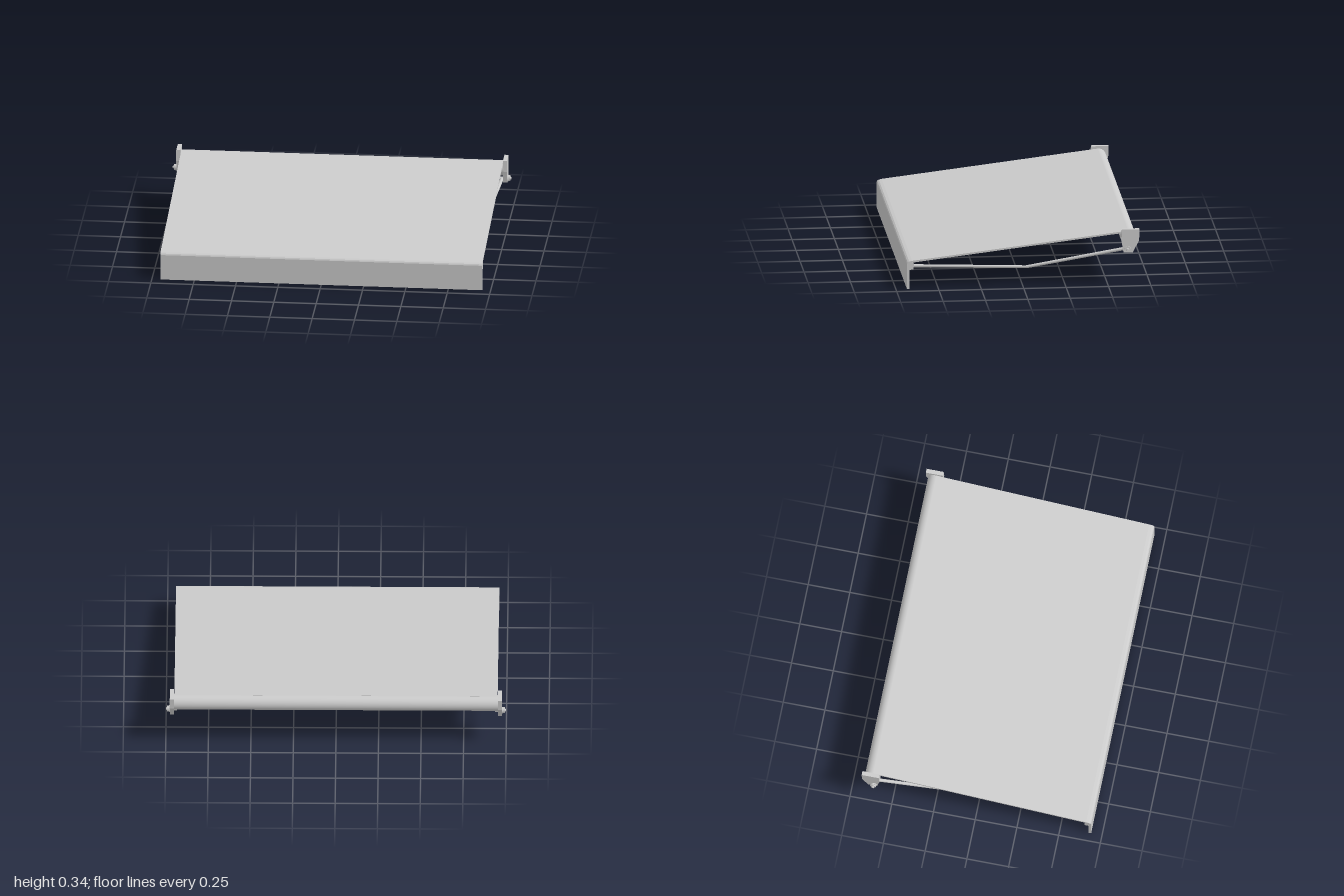
import * as THREE from 'three';

const grey = new THREE.MeshStandardMaterial({ color: 0xcccccc });

function add(parent, name, geometry) {
  const mesh = new THREE.Mesh(geometry, grey);
  mesh.name = name;
  parent.add(mesh);
  return mesh;
}

// Extrude a side profile of [z, y] points along x, centred on x = cx
function sideExtrude(points, width, cx = 0) {
  const shape = new THREE.Shape(points.map(([z, y]) => new THREE.Vector2(z, y)));
  const geo = new THREE.ExtrudeGeometry(shape, { depth: width, bevelEnabled: false });
  return geo.translate(0, 0, -width / 2).rotateY(-Math.PI / 2).translate(cx, 0, 0);
}

// Straight round rod between two points
function rod(a, b, r0, r1) {
  const dir = b.clone().sub(a);
  const geo = new THREE.CylinderGeometry(r1, r0, dir.length(), 16);
  const turn = new THREE.Quaternion().setFromUnitVectors(new THREE.Vector3(0, 1, 0), dir.normalize());
  const mid = a.clone().add(b).multiplyScalar(0.5);
  return geo.applyQuaternion(turn).translate(mid.x, mid.y, mid.z);
}

export function createModel() {
  const model = new THREE.Group();
  model.name = 'awning';

  // Sloping cover that bends down into the hanging valance
  add(model, 'fabricCover', sideExtrude([
    [0.685, 0], [0.685, 0.153], [0.681, 0.161], [0.672, 0.167], [0.655, 0.171],
    [-0.62, 0.323], [-0.62, 0.313], [0.655, 0.16], [0.666, 0.156], [0.67, 0.149], [0.67, 0],
  ], 1.9));

  // Roller at the wall
  const roller = add(model, 'rollerTube', new THREE.CylinderGeometry(0.046, 0.046, 1.91, 40).rotateZ(Math.PI / 2));
  roller.position.set(0, 0.277, -0.624);

  // Front rail under the bend
  add(model, 'frontRail', sideExtrude([
    [0.671, 0.12], [0.671, 0.158], [0.647, 0.16], [0.644, 0.15], [0.646, 0.12],
  ], 1.9));

  for (const side of [1, -1]) {
    const name = side > 0 ? 'left' : 'right';

    // Wall bracket plate
    add(model, name + 'WallBracket', sideExtrude([
      [-0.583, 0.337], [-0.685, 0.337], [-0.683, 0.27], [-0.645, 0.197],
      [-0.592, 0.197], [-0.579, 0.27],
    ], 0.025, side * 0.964));

    // Pivot bolt: washer, hexagonal nut and domed end
    const bolt = new THREE.Group();
    bolt.name = name + 'PivotBolt';
    bolt.position.set(side * 0.976, 0.218, -0.614);
    bolt.rotation.z = -side * Math.PI / 2;
    add(bolt, 'washer', new THREE.CylinderGeometry(0.02, 0.02, 0.006, 24)).position.y = 0.003;
    add(bolt, 'nut', new THREE.CylinderGeometry(0.018, 0.018, 0.012, 6)).position.y = 0.01;
    add(bolt, 'boltEnd', new THREE.CylinderGeometry(0.007, 0.01, 0.01, 16)).position.y = 0.019;
    model.add(bolt);

    // Two-part folding arm with elbow
    const shoulder = new THREE.Vector3(side * 0.945, 0.216, -0.61);
    const elbow = new THREE.Vector3(side * 0.87, 0.098, -0.03);
    const wrist = new THREE.Vector3(side * 0.8, 0.102, 0.66);
    add(model, name + 'UpperArm', rod(shoulder, elbow, 0.01, 0.009));
    add(model, name + 'Forearm', rod(elbow, wrist, 0.008, 0.01));
    add(model, name + 'Elbow', new THREE.SphereGeometry(0.009, 16, 12)).position.copy(elbow);
    add(model, name + 'Shoulder', new THREE.CylinderGeometry(0.012, 0.012, 0.024, 16).rotateZ(Math.PI / 2))
      .position.copy(shoulder);

    // Clip that hangs the arm from the front rail
    add(model, name + 'ArmClip', new THREE.BoxGeometry(0.022, 0.046, 0.021))
      .position.set(side * 0.8, 0.102, 0.66);
  }
  return model;
}
